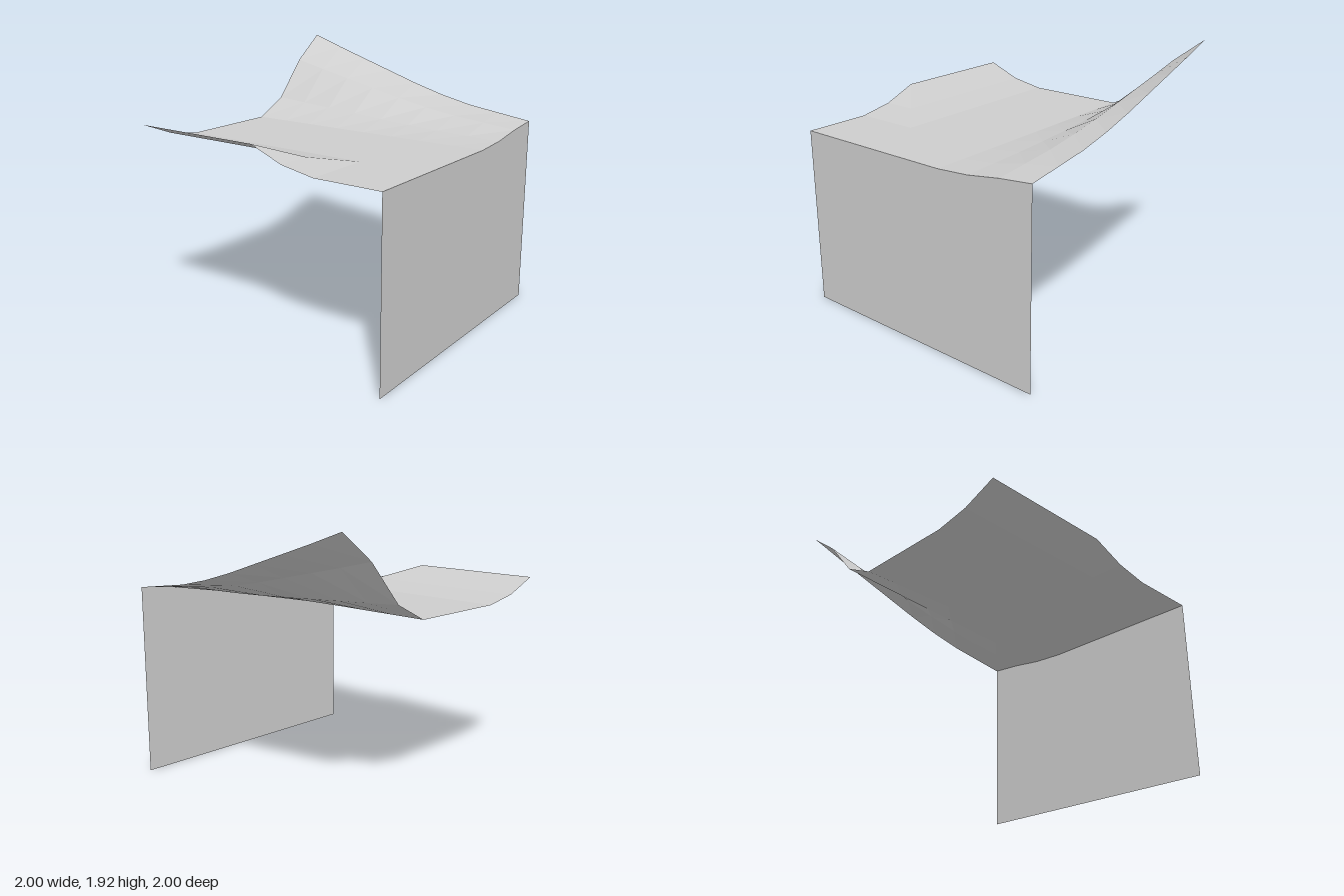
import * as THREE from 'three';

const BASE = 1.325;
const STEP = 0.25;

// Right-hand bank: rise along the outer edge from back (z = -1) to front (z = 1)
const bankEdge = [0.6, 0.515, 0.435, 0.355, 0.275, 0.205, 0.15, 0.115, 0.08];
// Share of that rise at each column x = -1 ... 1
const bankShare = [0, 0, 0, 0, 0, 0, 0.21, 0.685, 1];

// Ground height at a grid point
function groundHeight(x, z) {
  const col = Math.round((x + 1) / STEP);
  const row = Math.round((z + 1) / STEP);
  let rise = bankShare[col] * bankEdge[row];
  // low bank on the other side, tapering off towards the front
  if (col === 0 && row <= 4) rise = 0.145;
  else if (col <= 1 && row <= 5) rise = 0.045;
  return BASE + rise;
}

export function createModel() {
  const group = new THREE.Group();
  group.name = 'terrainTile';
  const stone = new THREE.MeshStandardMaterial({ color: 0xcccccc, flatShading: true, side: THREE.DoubleSide });
  stone.name = 'light grey';

  // Ground sheet: quarter turn sets the diagonals from back left to front right
  const ground = new THREE.PlaneGeometry(2, 2, 8, 8).rotateX(-Math.PI / 2).rotateY(Math.PI / 2);
  const g = ground.attributes.position;
  for (let i = 0; i < g.count; i++) g.setY(i, groundHeight(g.getX(i), g.getZ(i)));
  ground.computeVertexNormals();
  const groundMesh = new THREE.Mesh(ground, stone);
  groundMesh.name = 'ground';
  group.add(groundMesh);

  // Cliff face: upper edge follows the front of the ground
  const cliff = new THREE.PlaneGeometry(2, 2, 8, 1).translate(0, 0, 1);
  const c = cliff.attributes.position;
  for (let i = 0; i < c.count; i++) c.setY(i, c.getY(i) > 0 ? groundHeight(c.getX(i), 1) : 0);
  const cliffMesh = new THREE.Mesh(cliff, stone);
  cliffMesh.name = 'cliffFace';
  group.add(cliffMesh);

  return group;
}
